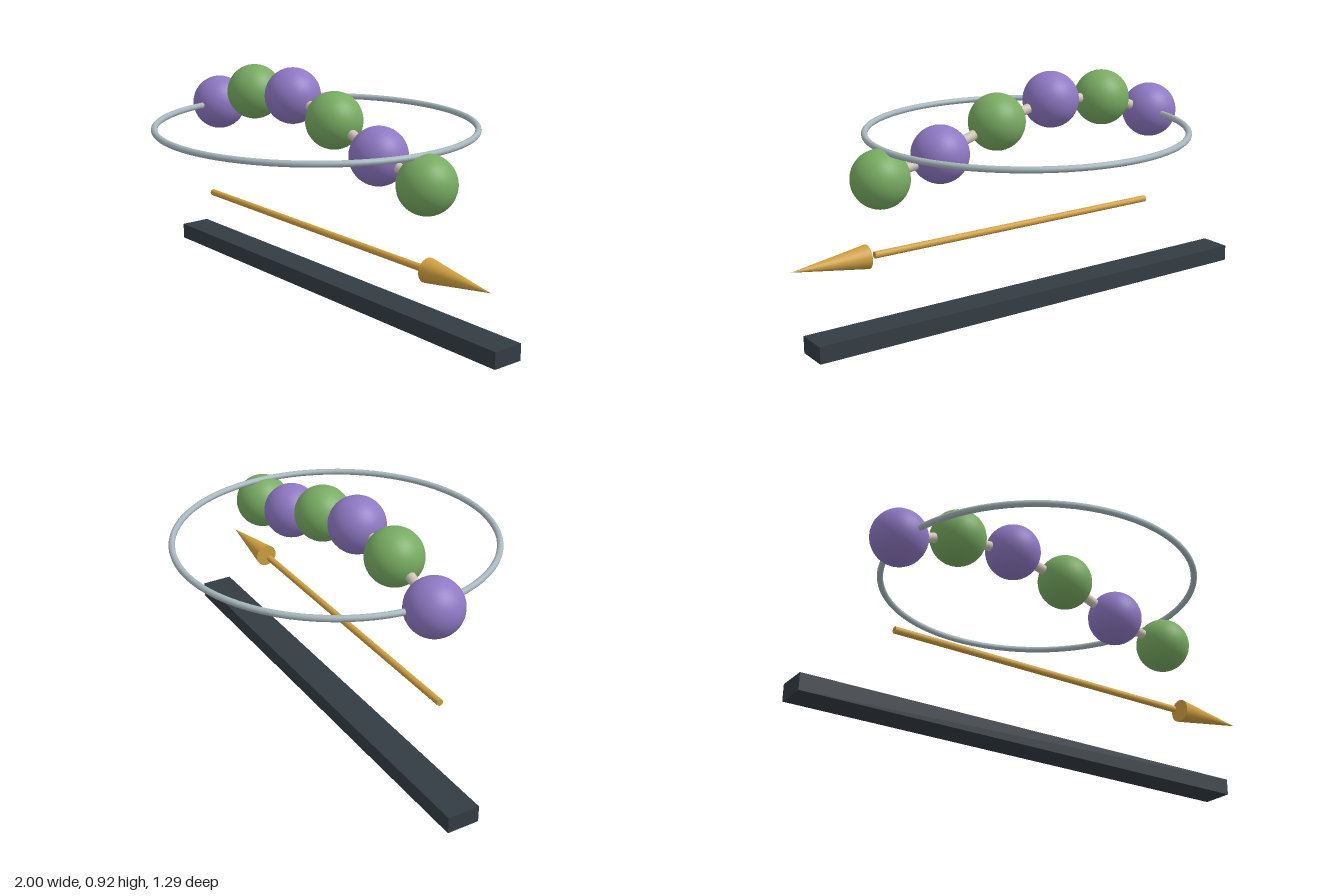
import * as THREE from 'three';

const mat = (name, color) => {
  const m = new THREE.MeshStandardMaterial({ color });
  m.name = name;
  return m;
};

export function createModel() {
  const model = new THREE.Group();
  model.name = 'beadChainModel';
  const purple = mat('purple', 0x8e78c4);
  const green = mat('green', 0x78ab62);
  const beige = mat('beige', 0xcfc6b8);
  const gold = mat('gold', 0xd0a040);
  const slate = mat('slate', 0x343c44);
  const silver = mat('silver', 0xa8b8be);

  const add = (name, geometry, material, x, y, z) => {
    const mesh = new THREE.Mesh(geometry, material);
    mesh.name = name;
    mesh.position.set(x, y, z);
    model.add(mesh);
    return mesh;
  };
  const cx = -0.007;

  // Base bar
  add('baseBar', new THREE.BoxGeometry(1.985, 0.066, 0.13), slate, cx, 0.033, -0.065);

  // Arrow: shaft and separate pointed head
  add('arrowShaft', new THREE.CylinderGeometry(0.0135, 0.0135, 1.33, 16), gold, cx, 0.297, 0.049)
    .rotation.z = -Math.PI / 2;
  add('arrowHead', new THREE.ConeGeometry(0.047, 0.31, 24), gold, 0.845, 0.297, 0.049)
    .rotation.z = -Math.PI / 2;

  // Wavy chain of alternating beads
  const beads = [];
  for (let i = 0; i < 6; i++) {
    const p = new THREE.Vector3(cx + (i - 2.5) * 0.2595, 0.7 + 0.106 * Math.sin(i * 0.9), 0.016);
    beads.push(p);
    add('bead', new THREE.SphereGeometry(0.1125, 32, 24), i % 2 ? green : purple, p.x, p.y, p.z);
  }

  // Rods joining neighbouring beads
  const up = new THREE.Vector3(0, 1, 0);
  for (let i = 0; i < 5; i++) {
    const dir = beads[i + 1].clone().sub(beads[i]);
    const mid = beads[i].clone().add(beads[i + 1]).multiplyScalar(0.5);
    add('link', new THREE.CylinderGeometry(0.02, 0.02, dir.length(), 16), beige, mid.x, mid.y, mid.z)
      .quaternion.setFromUnitVectors(up, dir.normalize());
  }

  // Horizontal ring around the chain
  add('ring', new THREE.TorusGeometry(0.633, 0.0125, 12, 80), silver, cx, 0.701, 0)
    .rotation.x = Math.PI / 2;

  return model;
}
